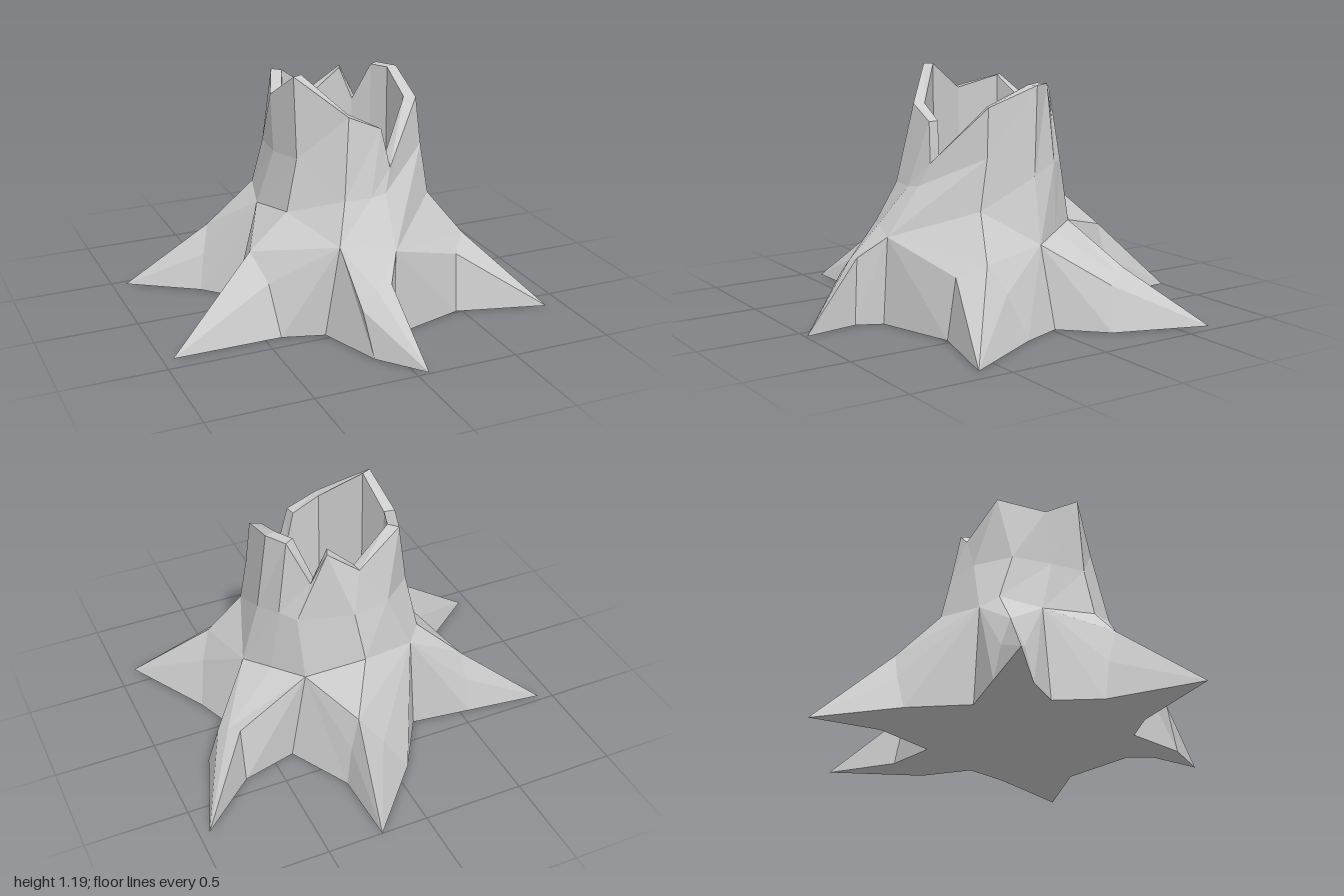
import * as THREE from 'three';

// Each root, clockwise from the back: side, tip, side, next valley (x, z on the ground),
// then the raised middle of the root: shoulder, ridge, shoulder
const ROOTS = [
  { s0: [-0.08, -0.65], tip: [0.23, -1.0], s1: [0.24, -0.64], valley: [0.40, -0.34],
    m0: [0.05, 0.20, -0.64], ridge: [0.17, 0.36, -0.61], m1: [0.21, 0.20, -0.62] },
  { s0: [0.67, -0.41], tip: [0.95, -0.66], s1: [0.79, -0.21], valley: [0.60, -0.02],
    m0: [0.67, 0.27, -0.36], ridge: [0.71, 0.25, -0.30], m1: [0.74, 0.21, -0.24] },
  { s0: [0.68, 0.19], tip: [0.91, 0.61], s1: [0.47, 0.49], valley: [0.08, 0.60],
    m0: [0.63, 0.22, 0.27], ridge: [0.57, 0.35, 0.34], m1: [0.48, 0.29, 0.45] },
  { s0: [0.02, 0.72], tip: [0.06, 0.99], s1: [-0.11, 0.78], valley: [-0.22, 0.47],
    m0: [0.01, 0.32, 0.70], ridge: [-0.06, 0.29, 0.71], m1: [-0.14, 0.22, 0.71] },
  { s0: [-0.42, 0.41], tip: [-0.95, 0.41], s1: [-0.57, 0.12], valley: [-0.45, -0.09],
    m0: [-0.45, 0.25, 0.33], ridge: [-0.50, 0.38, 0.22], m1: [-0.54, 0.20, 0.16] },
  { s0: [-0.60, -0.25], tip: [-0.93, -0.47], s1: [-0.55, -0.42], valley: [-0.25, -0.38],
    m0: [-0.57, 0.18, -0.28], ridge: [-0.53, 0.32, -0.33], m1: [-0.54, 0.18, -0.38] },
];

// Trunk cross-sections: 12 points, alternating above a root and above a valley
const FOOT = [
  [0.05, 0.55, -0.43], [0.31, 0.44, -0.31], [0.42, 0.42, -0.15], [0.51, 0.39, 0.0],
  [0.41, 0.56, 0.27], [0.09, 0.42, 0.58], [-0.03, 0.46, 0.56], [-0.16, 0.45, 0.50],
  [-0.31, 0.55, 0.22], [-0.35, 0.50, -0.08], [-0.30, 0.54, -0.28], [-0.23, 0.50, -0.35],
];
const WAIST = [
  [0.08, 0.78, -0.37], [0.32, 0.74, -0.25], [0.38, 0.75, -0.17], [0.43, 0.70, -0.02],
  [0.39, 0.80, 0.22], [0.11, 0.65, 0.42], [0.03, 0.64, 0.43], [-0.10, 0.64, 0.42],
  [-0.25, 0.80, 0.20], [-0.29, 0.78, 0.0], [-0.27, 0.78, -0.20], [-0.11, 0.78, -0.33],
];
const RIM = [
  [0.18, 1.09, -0.28], [0.25, 0.93, -0.25], [0.33, 1.12, -0.16], [0.39, 1.12, -0.06],
  [0.37, 1.03, 0.20], [0.15, 0.76, 0.38], [0.11, 0.95, 0.36], [-0.05, 1.02, 0.35],
  [-0.25, 1.19, 0.17], [-0.29, 1.06, -0.03], [-0.20, 1.12, -0.25], [0.03, 0.98, -0.31],
];
// Height of the hollow's floor below each rim point
const FLOOR = [0.56, 0.57, 0.58, 0.58, 0.42, 0.43, 0.44, 0.45, 0.50, 0.57, 0.56, 0.56];

// Flat-faced geometry from a list of triangles
function facets(triangles) {
  const geometry = new THREE.BufferGeometry();
  geometry.setAttribute('position', new THREE.Float32BufferAttribute(triangles.flat(2), 3));
  geometry.computeVertexNormals();
  return geometry;
}

// Triangles joining a closed ring to the next one
function band(lower, upper) {
  return lower.flatMap((p, i) => {
    const j = (i + 1) % lower.length;
    return [[lower[j], p, upper[i]], [lower[j], upper[i], upper[j]]];
  });
}

export function createModel() {
  const stump = new THREE.Group();
  stump.name = 'treeStump';
  const wood = new THREE.MeshStandardMaterial({ color: 0xcccccc });
  wood.name = 'greyWood';
  const add = (name, geometry) => {
    const mesh = new THREE.Mesh(geometry, wood);
    mesh.name = name;
    stump.add(mesh);
  };
  const ground = ([x, z]) => [x, 0, z];

  // Spreading roots
  ROOTS.forEach((root, i) => {
    const v0 = ground(ROOTS[(i + 5) % 6].valley);
    const [s0, tip, s1, v1] = [root.s0, root.tip, root.s1, root.valley].map(ground);
    const a = FOOT[(2 * i + 11) % 12], top = FOOT[2 * i], b = FOOT[2 * i + 1];
    const { m0, ridge, m1 } = root;
    add('root' + (i + 1), facets([
      [s0, v0, a], [m0, s0, a], [tip, s0, m0], [tip, m0, ridge], [ridge, m0, a], [ridge, a, top],
      [v1, s1, b], [s1, m1, b], [s1, tip, m1], [m1, tip, ridge], [m1, ridge, b], [b, ridge, top],
    ]));
  });

  // Bark up to the jagged rim
  add('trunk', facets([...band(FOOT, WAIST), ...band(WAIST, RIM)]));

  // Broken rim thickness and hollow inside
  const innerRim = RIM.map(([x, y, z]) => [0.05 + (x - 0.05) * 0.84, y, 0.02 + (z - 0.02) * 0.84]);
  const floor = innerRim.map(([x, , z], i) => [x, FLOOR[i], z]);
  add('rim', facets(band(RIM, innerRim)));
  add('hollowWall', facets(band(innerRim, floor)));
  const centre = [-0.07, 0.57, 0.04];
  add('hollowFloor', facets(floor.map((p, i) => [floor[(i + 1) % 12], p, centre])));

  // Flat underside
  const outline = ROOTS.flatMap((r) => [r.s0, r.tip, r.s1, r.valley]);
  const shape = new THREE.Shape(outline.map(([x, z]) => new THREE.Vector2(x, z)));
  add('underside', new THREE.ShapeGeometry(shape).rotateX(Math.PI / 2));

  return stump;
}
